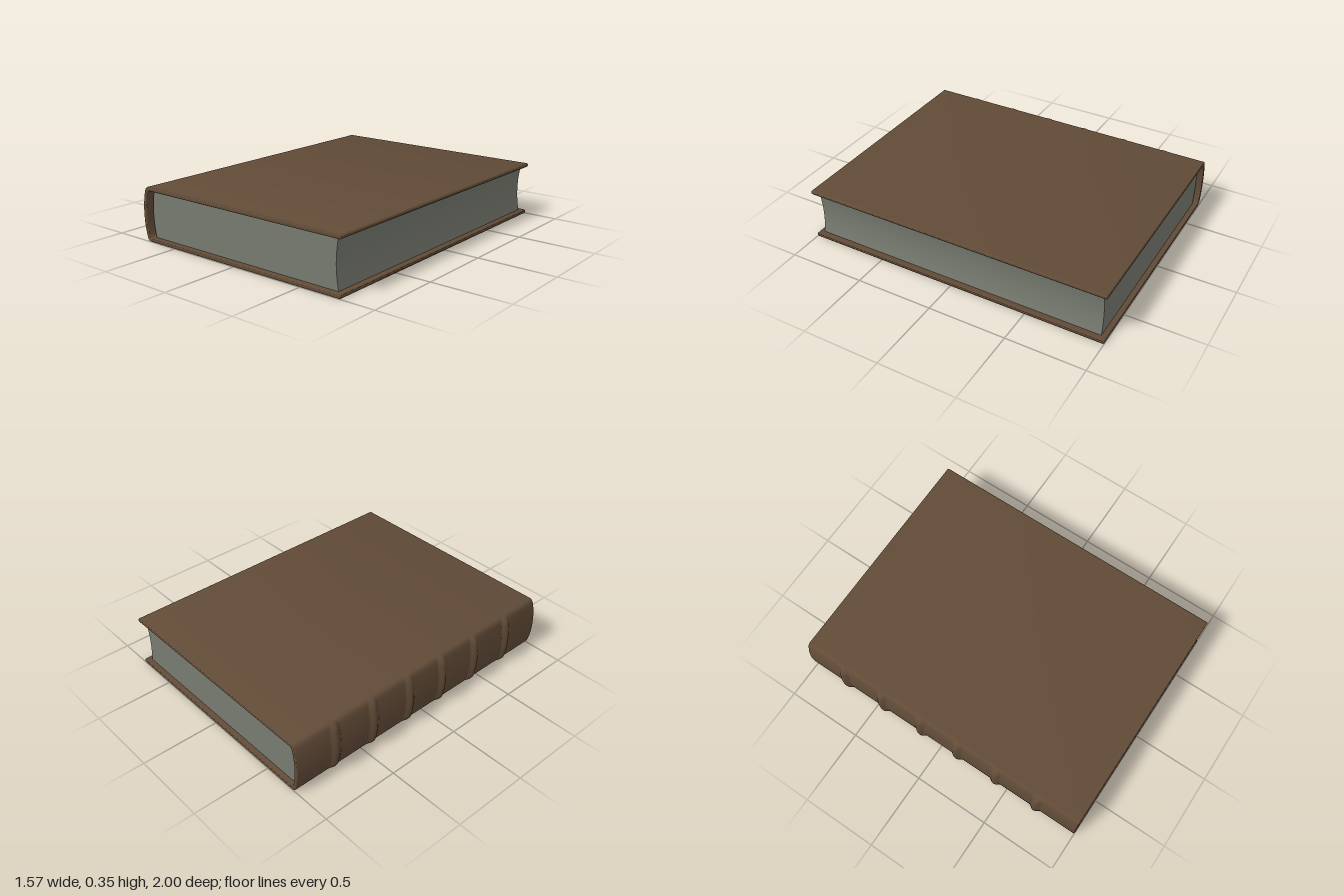
import * as THREE from 'three';
import { mergeVertices, toCreasedNormals } from 'three/addons/utils/BufferGeometryUtils.js';
import { ParametricGeometry } from 'three/addons/geometries/ParametricGeometry.js';

const H = 0.348; // book thickness
const T = 0.025; // board thickness
const MID = H / 2;

// Outer line of the rounded spine, from the top board round to the bottom board
function spineLine(path) {
  path.quadraticCurveTo(-0.74, H, -0.749, H - 0.034);
  path.quadraticCurveTo(-0.767, H - 0.1, -0.767, MID);
  path.quadraticCurveTo(-0.767, 0.1, -0.749, 0.034);
  path.quadraticCurveTo(-0.74, 0, -0.715, 0);
}

// Extrude a profile along z, centred, with smooth curves and crisp edges
function extrudeZ(shape, depth, bevel) {
  let geo = new THREE.ExtrudeGeometry(shape, {
    depth: depth - 2 * bevel, curveSegments: 14, bevelEnabled: bevel > 0,
    bevelSize: bevel, bevelThickness: bevel, bevelOffset: -bevel, bevelSegments: 3,
  });
  geo.translate(0, 0, -depth / 2 + bevel);
  geo.deleteAttribute('uv');
  geo.deleteAttribute('normal');
  geo = mergeVertices(geo, 1e-5);
  return toCreasedNormals(geo, 0.7);
}

// One C-shaped profile: two boards joined by the hollow spine
function coverShape() {
  const s = new THREE.Shape();
  const r = 0.011, x = 0.78;
  s.moveTo(x - r, H);
  s.lineTo(-0.715, H);
  spineLine(s);
  s.lineTo(x - r, 0);
  s.quadraticCurveTo(x, 0, x, T / 2);
  s.quadraticCurveTo(x, T, x - r, T);
  s.lineTo(-0.705, T);
  s.quadraticCurveTo(-0.722, T, -0.728, 0.056);
  s.quadraticCurveTo(-0.741, 0.11, -0.741, MID);
  s.quadraticCurveTo(-0.741, H - 0.11, -0.728, H - 0.056);
  s.quadraticCurveTo(-0.722, H - T, -0.705, H - T);
  s.lineTo(x - r, H - T);
  s.quadraticCurveTo(x, H - T, x, H - T / 2);
  s.quadraticCurveTo(x, H, x - r, H);
  return s;
}

// Page block: hollow fore edge and rounded back
function pagesShape() {
  const s = new THREE.Shape();
  const lo = T - 0.001, hi = H - T + 0.001;
  s.moveTo(-0.694, lo);
  s.lineTo(0.742, lo);
  s.quadraticCurveTo(0.71, MID, 0.742, hi);
  s.lineTo(-0.694, hi);
  s.quadraticCurveTo(-0.728, MID, -0.694, lo);
  return s;
}

// Thin strip glued over the back of the pages
function liningShape() {
  const s = new THREE.Shape();
  const lo = T - 0.001, hi = H - T + 0.001;
  s.moveTo(-0.694, lo);
  s.quadraticCurveTo(-0.728, MID, -0.694, hi);
  s.lineTo(-0.701, hi);
  s.quadraticCurveTo(-0.736, MID, -0.701, lo);
  s.lineTo(-0.694, lo);
  return s;
}

// Raised band: a soft swelling that follows the spine and fades into the boards
function bandGeometry() {
  const path = new THREE.Path();
  path.moveTo(-0.715, H);
  spineLine(path);
  const width = 0.08;
  return new ParametricGeometry((u, v, target) => {
    const p = path.getPointAt(u);
    const t = path.getTangentAt(u);
    const fade = THREE.MathUtils.smoothstep(Math.min(u, 1 - u), 0, 0.2);
    const swell = Math.sin(Math.PI * v) ** 1.5;
    const lift = 0.0205 * fade * swell - 0.001;
    target.set(p.x + t.y * lift, p.y - t.x * lift, (v - 0.5) * width);
  }, 40, 14);
}

export function createModel() {
  const leather = new THREE.MeshStandardMaterial({ color: 0x614b37 });
  const paper = new THREE.MeshStandardMaterial({ color: 0x777b70 });
  const book = new THREE.Group();
  book.name = 'book';

  const add = (name, geo, mat) => {
    const mesh = new THREE.Mesh(geo, mat);
    mesh.name = name;
    book.add(mesh);
    return mesh;
  };

  add('cover', extrudeZ(coverShape(), 2, 0.006), leather);
  add('pages', extrudeZ(pagesShape(), 1.936, 0), paper);
  add('spineLining', extrudeZ(liningShape(), 1.93, 0), paper);

  // Six raised bands across the spine
  const band = bandGeometry();
  [-0.72, -0.43, -0.14, 0.135, 0.42, 0.715].forEach((z, i) => {
    add('spineBand' + (i + 1), band, leather).position.z = z;
  });
  return book;
}
